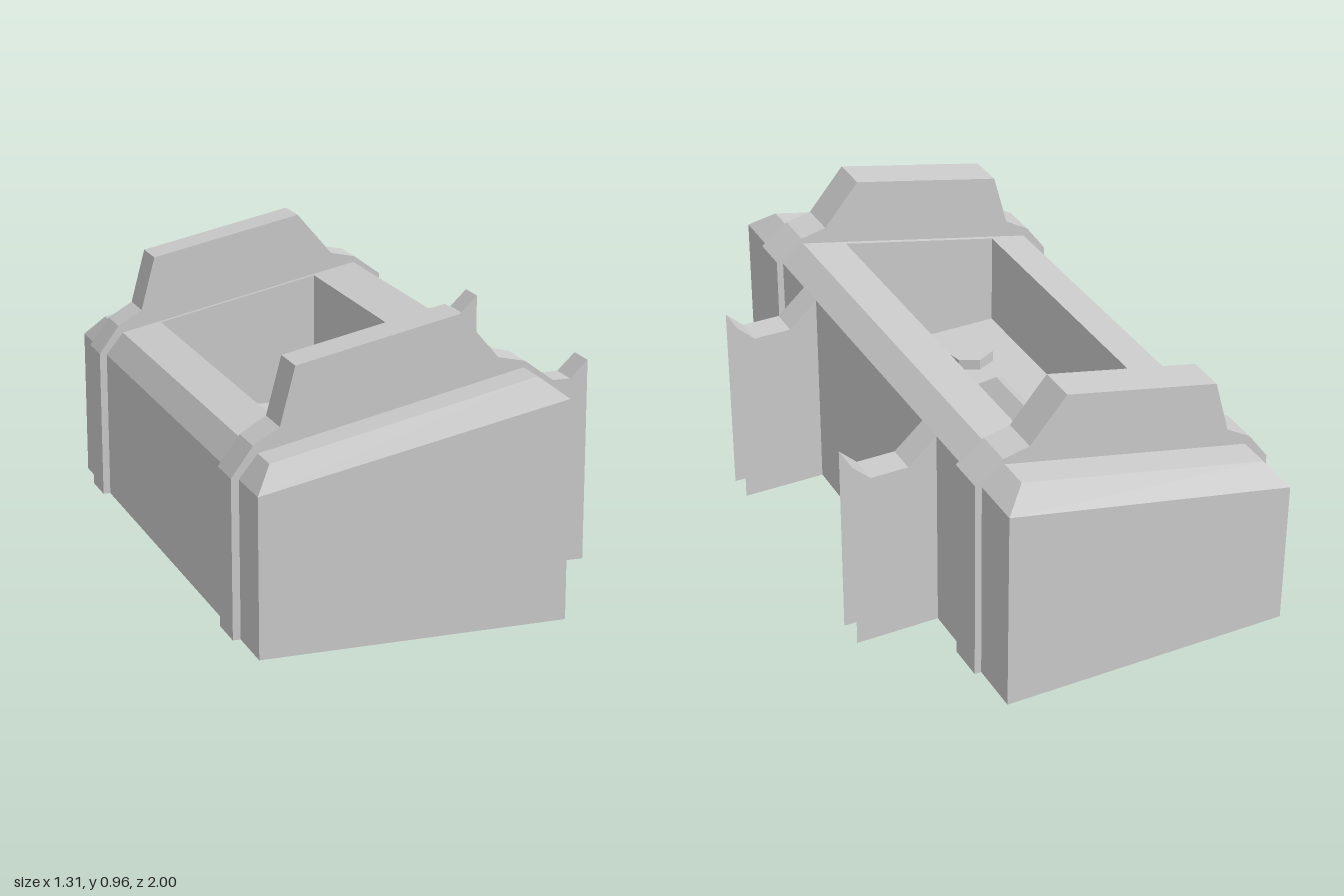
import * as THREE from 'three';

const material = new THREE.MeshStandardMaterial({ color: 0xcccccc, flatShading: true, side: THREE.DoubleSide });

function addMesh(parent, name, geometry) {
  const mesh = new THREE.Mesh(geometry, material);
  mesh.name = name;
  parent.add(mesh);
  return mesh;
}

// Rectangular loop, counterclockwise from above; height runs from y0 at x0 to y1 at x1
const rect = (x0, x1, y0, y1, z0, z1) =>
  [[x1, y1, z1], [x1, y1, z0], [x0, y0, z0], [x0, y0, z1]];

// Flat quads from lists of four corners
function quads(list) {
  const pos = [];
  for (const [a, b, c, d] of list) pos.push(...a, ...b, ...c, ...a, ...c, ...d);
  const g = new THREE.BufferGeometry();
  g.setAttribute('position', new THREE.Float32BufferAttribute(pos, 3));
  g.computeVertexNormals();
  return g;
}

// Quads joining two loops of equal length; skip drops sides by index
const band = (a, b, skip = []) => a
  .map((p, i) => [p, a[(i + 1) % a.length], b[(i + 1) % a.length], b[i]])
  .filter((q, i) => !skip.includes(i));

const shapeOf = pts => new THREE.Shape(pts.map(([x, y]) => new THREE.Vector2(x, y)));
// Horizontal outline of a loop, to be laid flat with rotateX
const plan = loop => loop.map(([x, , z]) => [x, -z]);

const FLOOR = 0.28;

function addBody(group) {
  const base = rect(-0.63, 0.367, 0, 0, -1, 1);
  const shoulder = rect(-0.63, 0.367, 0.51, 0.71, -1, 1);
  const rim = rect(-0.57, 0.29, 0.585, 0.77, -0.93, 0.93);
  const mouth = rect(-0.435, 0.135, 0.614, 0.737, -0.675, 0.675);
  const bottom = rect(-0.435, 0.135, FLOOR, FLOOR, -0.675, 0.675);

  // Side wall with open slots behind the channels
  const wall = [[-1, -0.51], [-0.41, 0.41], [0.51, 1]].map(([a, b]) =>
    [[0.367, 0, b], [0.367, 0, a], [0.367, 0.71, a], [0.367, 0.71, b]]);
  addMesh(group, 'outerWalls', quads([...band(base, shoulder, [0]), ...wall]));
  addMesh(group, 'chamferedRim', quads([...band(shoulder, rim), ...band(rim, mouth)]));
  addMesh(group, 'wellWalls', quads(band(mouth, bottom)));

  // Well floor, opened beneath the hollow ridges and studs
  const floor = shapeOf(plan(bottom));
  for (const x of [-0.235, -0.03]) {
    const foot = rect(x - 0.052, x + 0.052, FLOOR, FLOOR, -0.55, 0.3);
    const crest = rect(x, x, FLOOR + 0.045, FLOOR + 0.045, -0.5, 0.25);
    floor.holes.push(shapeOf(plan(foot)));
    addMesh(group, 'floorRidge', quads(band(foot, crest)));
  }
  for (const x of [-0.24, -0.03]) {
    const ring = y => Array.from({ length: 7 }, (_, i) => {
      const t = Math.PI + i * Math.PI * 2 / 7;
      return [x + 0.087 * Math.sin(t), y, 0.47 + 0.087 * Math.cos(t)];
    });
    const low = ring(FLOOR), high = ring(FLOOR + 0.04);
    floor.holes.push(shapeOf(plan(low)));
    addMesh(group, 'studSide', quads(band(low, high)));
    const cap = new THREE.ShapeGeometry(shapeOf(plan(high))).rotateX(-Math.PI / 2);
    addMesh(group, 'studCap', cap).position.y = FLOOR + 0.04;
  }
  addMesh(group, 'wellFloor', new THREE.ShapeGeometry(floor).rotateX(-Math.PI / 2)).position.y = FLOOR;
}

// Raised bands wrapping over the body
function addStrap(group, z) {
  const outline = shapeOf([
    [-0.655, 0], [-0.63, 0], [-0.63, 0.51], [-0.57, 0.585], [0.29, 0.77], [0.367, 0.71], [0.367, 0],
    [0.39, 0], [0.39, 0.72], [0.295, 0.79], [0.205, 0.81], [0.08, 0.958], [-0.45, 0.845],
    [-0.5, 0.66], [-0.585, 0.61], [-0.655, 0.515],
  ]);
  const g = new THREE.ExtrudeGeometry(outline, { depth: 0.13, bevelEnabled: false });
  addMesh(group, 'strap', g).position.z = z - 0.065;
}

// Open channels on the side: two cheeks and a folded top sheet
function addChannel(group, z) {
  const channel = new THREE.Group();
  channel.name = 'sideChannel';
  const top = [[0.367, 0.71], [0.465, 0.623], [0.595, 0.623], [0.655, 0.68]];
  for (const s of [-0.05, 0.05]) {
    const cheek = new THREE.ShapeGeometry(shapeOf([[0.367, 0], [0.655, 0], ...[...top].reverse()]));
    addMesh(channel, 'channelCheek', cheek).position.z = s;
  }
  const sheet = top.slice(1).map(([x, y], i) => {
    const [px, py] = top[i];
    return [[px, py, 0.05], [x, y, 0.05], [x, y, -0.05], [px, py, -0.05]];
  });
  addMesh(channel, 'channelTop', quads(sheet));
  channel.position.z = z;
  group.add(channel);
}

export function createModel() {
  const group = new THREE.Group();
  group.name = 'trough';
  addBody(group);
  for (const s of [-1, 1]) {
    addStrap(group, s * 0.755);
    addChannel(group, s * 0.46);
  }
  return group;
}
